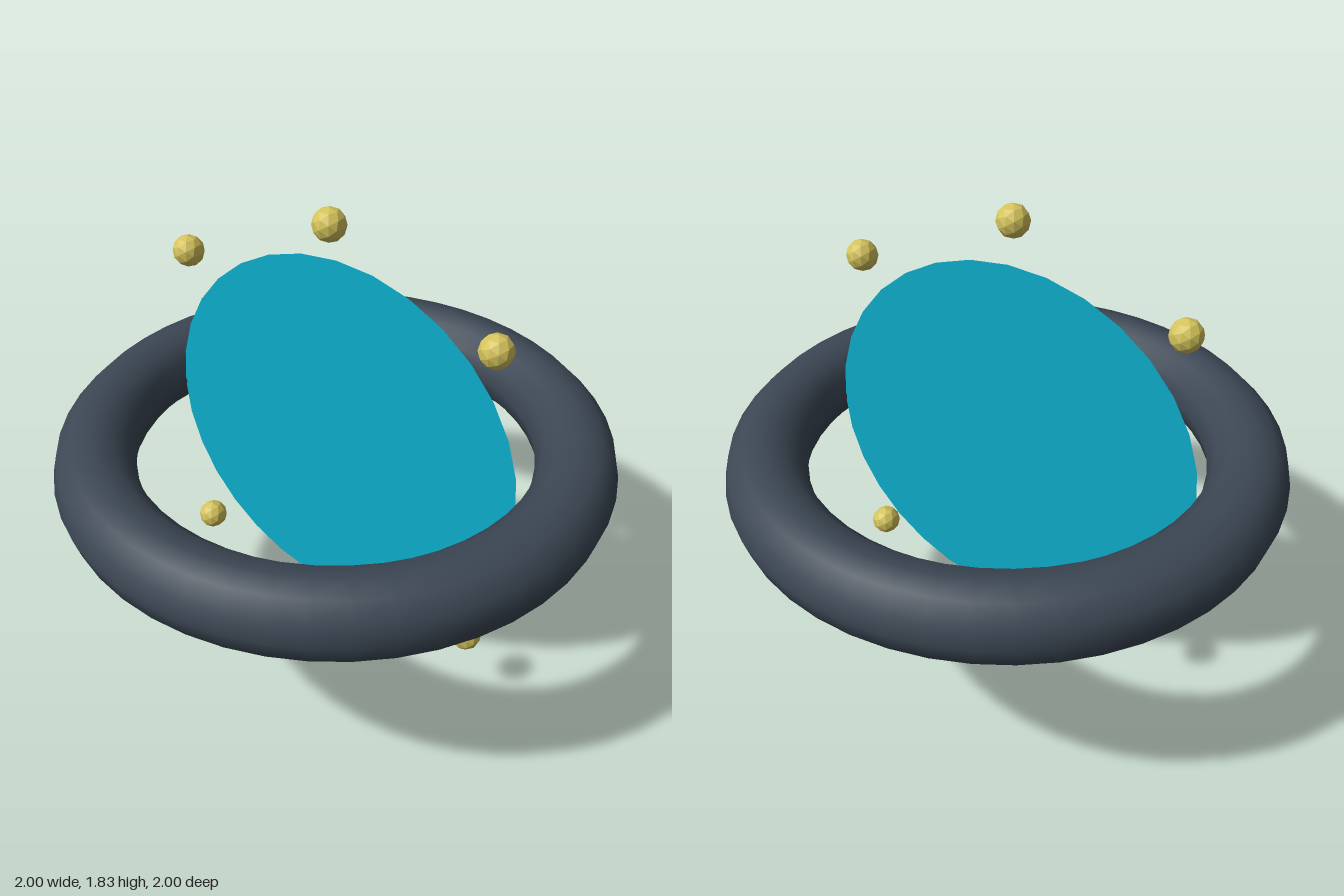
import * as THREE from 'three';

const CENTER_Y = 0.916;
const RING_RADIUS = 0.857;

export function createModel() {
  const model = new THREE.Group();
  model.name = 'portalRing';

  const slate = new THREE.MeshStandardMaterial({ color: 0x3c4754 });
  slate.name = 'slate';
  const cyan = new THREE.MeshStandardMaterial({ color: 0x0db2d0, side: THREE.DoubleSide });
  cyan.name = 'cyan';
  const gold = new THREE.MeshStandardMaterial({ color: 0xd4c35c, flatShading: true });
  gold.name = 'gold';

  const add = (name, geometry, material, x = 0, y = 0, z = 0) => {
    const mesh = new THREE.Mesh(geometry, material);
    mesh.name = name;
    mesh.position.set(x, CENTER_Y + y, z);
    model.add(mesh);
    return mesh;
  };

  // Horizontal ring
  const ring = add('ring', new THREE.TorusGeometry(RING_RADIUS, 0.143, 12, 48), slate);
  ring.rotation.x = Math.PI / 2;

  // Upright flat disc
  add('disc', new THREE.CircleGeometry(0.72, 32), cyan);

  // Eight faceted orbs around the disc; the two at the sides sit inside the ring
  const orbGeometry = new THREE.IcosahedronGeometry(0.057, 1);
  for (let i = 0; i < 8; i++) {
    const a = (i * Math.PI) / 4;
    add(`orb${i + 1}`, orbGeometry, gold, Math.cos(a) * RING_RADIUS, Math.sin(a) * RING_RADIUS, 0.036);
  }

  return model;
}
